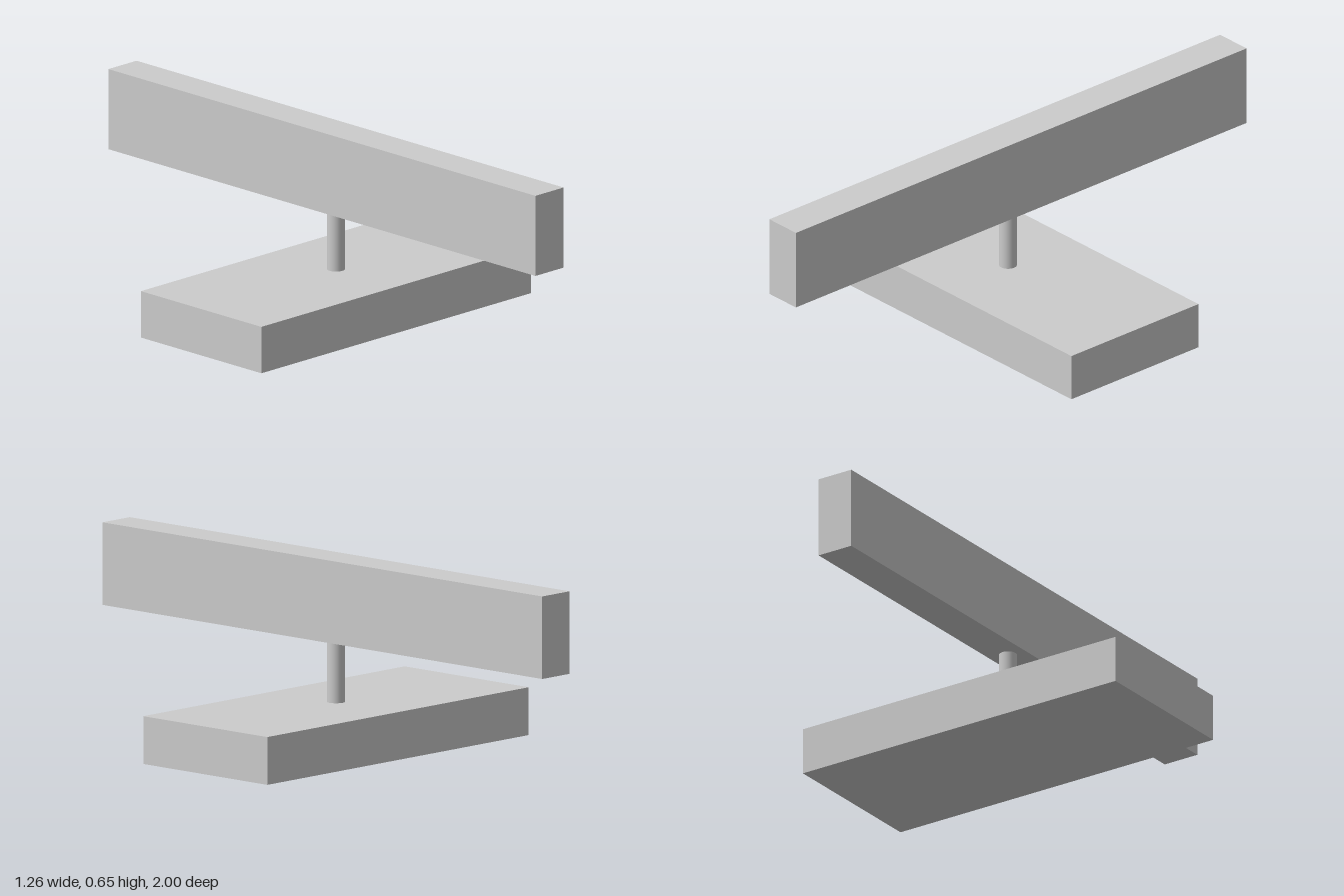
import * as THREE from 'three';

export function createModel() {
  const group = new THREE.Group();
  const material = new THREE.MeshStandardMaterial({ color: 0xcccccc });

  // Adds a named part whose centre sits at height y
  const add = (name, geometry, y) => {
    const mesh = new THREE.Mesh(geometry, material);
    mesh.name = name;
    mesh.position.y = y;
    group.add(mesh);
  };

  const baseTop = 0.161, beamBottom = 0.371, beamTop = 0.649;

  // Wide flat base slab
  add('base', new THREE.BoxGeometry(1.264, baseTop, 0.564), baseTop / 2);

  // Thin round post joining base and beam
  add('post', new THREE.CylinderGeometry(0.03, 0.03, beamBottom - baseTop, 32), (baseTop + beamBottom) / 2);

  // Long beam running front to back
  add('beam', new THREE.BoxGeometry(0.132, beamTop - beamBottom, 2), (beamBottom + beamTop) / 2);

  return group;
}
